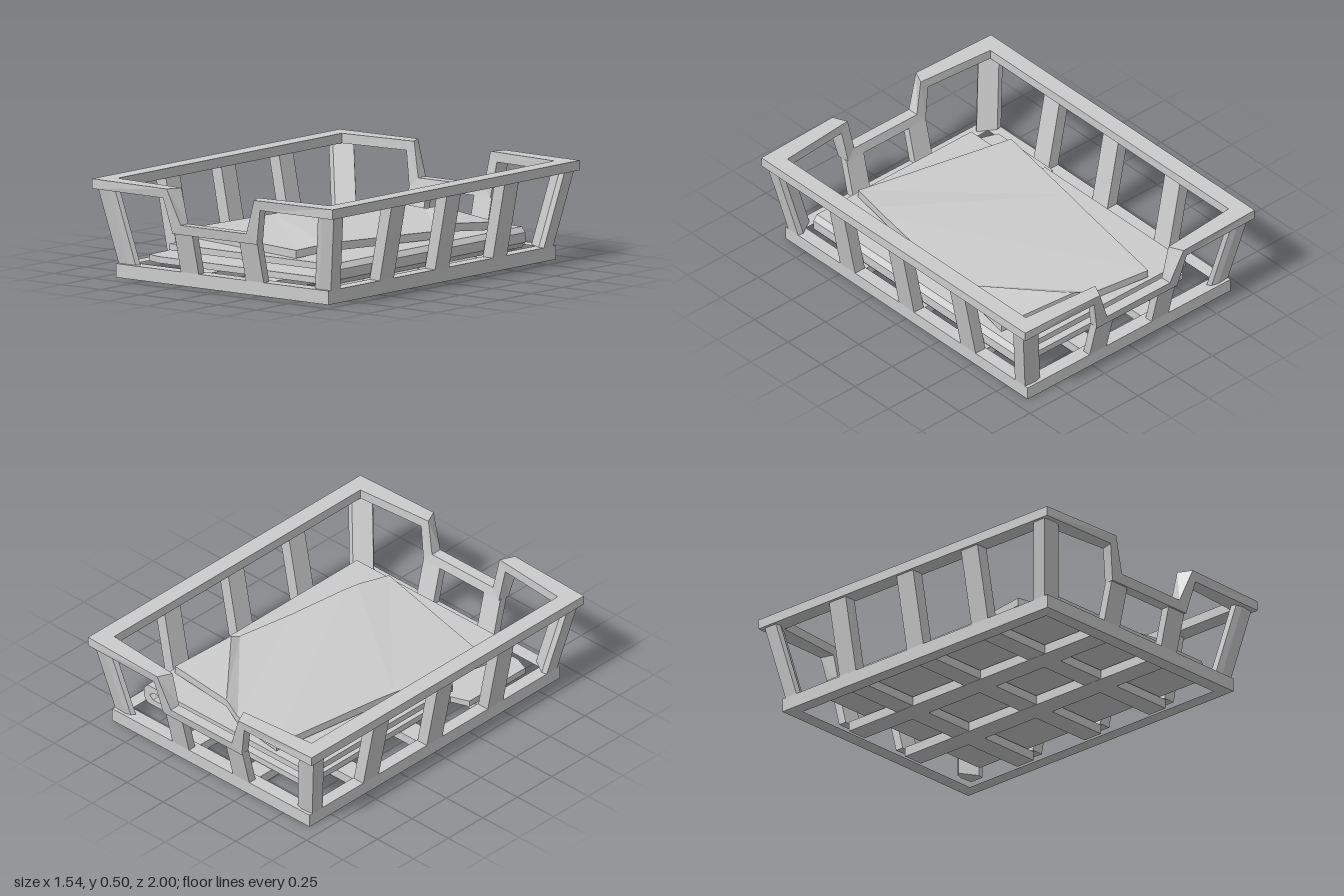
import * as THREE from 'three';

const material = new THREE.MeshStandardMaterial({ color: 0xcccccc, flatShading: true });

function add(group, name, geometry) {
  const mesh = new THREE.Mesh(geometry, material);
  mesh.name = name;
  group.add(mesh);
  return mesh;
}

// Skins a row of matching cross-sections; either closed into a ring or capped.
function loft(sections, ring = false) {
  const n = sections[0].length, pos = [];
  const tri = (a, b, c) => pos.push(...a, ...b, ...c);
  const spans = ring ? sections.length : sections.length - 1;
  for (let k = 0; k < spans; k++) {
    const a = sections[k], b = sections[(k + 1) % sections.length];
    for (let i = 0; i < n; i++) {
      const j = (i + 1) % n;
      tri(a[i], b[i], b[j]);
      tri(a[i], b[j], a[j]);
    }
  }
  if (!ring) {
    const a = sections[0], b = sections[sections.length - 1];
    for (let i = 1; i < n - 1; i++) {
      tri(a[0], a[i], a[i + 1]);
      tri(b[0], b[i + 1], b[i]);
    }
  }
  const g = new THREE.BufferGeometry();
  g.setAttribute('position', new THREE.Float32BufferAttribute(pos, 3));
  g.computeVertexNormals();
  return g;
}

// Leaning post: an (x, z) footprint moved by a lean between two heights.
function post(footprint, lean, y0, y1) {
  const pts = footprint.map(([x, z]) => new THREE.Vector2(x, z));
  if (THREE.ShapeUtils.area(pts) < 0) pts.reverse();
  return loft([
    pts.map(p => [p.x, y0, p.y]),
    pts.map(p => [p.x + lean[0], y1, p.y + lean[1]]),
  ]);
}

const rect = (x0, x1, z0, z1) => [[x0, z0], [x1, z0], [x1, z1], [x0, z1]];

// Flat plate from an (x, z) outline, with an optional hole.
function plate(outline, y0, y1, hole) {
  const vec = pts => pts.map(([x, z]) => new THREE.Vector2(x, -z));
  const shape = new THREE.Shape(vec(outline));
  if (hole) shape.holes.push(new THREE.Path(vec(hole)));
  const g = new THREE.ExtrudeGeometry(shape, { depth: y1 - y0, bevelEnabled: false });
  return g.rotateX(-Math.PI / 2).translate(0, y0, 0);
}

export function createModel() {
  const model = new THREE.Group();
  model.name = 'paperTray';

  // Base frame and lattice
  add(model, 'baseFrame', plate(rect(-0.68, 0.68, -0.905, 0.905), 0, 0.07,
    rect(-0.61, 0.61, -0.83, 0.83)));
  const crossZ = [-0.46, 0, 0.44];
  for (const x of [-0.205, 0.205])
    add(model, 'longSlat', new THREE.BoxGeometry(0.115, 0.05, 1.68)).position.set(x, 0.04, 0);
  for (const z of crossZ)
    add(model, 'crossSlat', new THREE.BoxGeometry(1.24, 0.048, 0.112)).position.set(0, 0.04, z);

  // Posts leaning outward to the rim
  const corner = [[0.68, 0.81], [0.65, 0.805], [0.56, 0.86], [0.575, 0.88], [0.61, 0.89], [0.68, 0.885]];
  for (const s of [1, -1]) {
    for (const z of crossZ)
      add(model, 'sidePost', post(rect(s * 0.615, s * 0.68, z - 0.056, z + 0.056), [s * 0.075, 0], 0.07, 0.45));
    for (const x of [-0.208, 0.208])
      add(model, 'endPost', post(rect(x - 0.057, x + 0.057, s * 0.86, s * 0.905), [0, s * 0.05], 0.07, 0.27));
    for (const t of [1, -1])
      add(model, 'cornerPost', post(corner.map(([x, z]) => [x * s, z * t]), [s * 0.075, t * 0.07], 0.07, 0.45));
  }

  // Rim with a dipped opening at each end; section order:
  // outer top, outer bottom, inner bottom, inner top
  const rimCorner = [[0.77, 0.5, 0.985], [0.77, 0.45, 0.985], [0.68, 0.45, 0.89], [0.68, 0.5, 0.89]];
  const rimKnee = [[0.28, 0.5, 1], [0.31, 0.45, 0.99], [0.29, 0.45, 0.92], [0.245, 0.5, 0.925]];
  const rimDip = [[0.21, 0.32, 0.975], [0.27, 0.27, 0.965], [0.26, 0.27, 0.905], [0.21, 0.32, 0.915]];
  const half = [rimCorner, rimKnee, rimDip];
  const flip = (list, sx, sz) => list.map(sec => sec.map(([x, y, z]) => [x * sx, y, z * sz]));
  const back = [...half].reverse();
  add(model, 'rim', loft([
    ...flip(half, 1, 1), ...flip(back, -1, 1),
    ...flip(half, -1, -1), ...flip(back, 1, -1),
  ], true));

  // Folded paper: two leaves joined by a rounded fold on the left
  const paper = new THREE.Group();
  paper.name = 'foldedPaper';
  model.add(paper);
  add(paper, 'upperLeaf', plate([[0.55, -0.745], [-0.52, -0.745], [-0.52, 0.3], [-0.47, 0.32],
    [-0.445, 0.4], [-0.445, 0.77], [0.55, 0.77]], 0.145, 0.178));
  add(paper, 'lowerLeaf', plate([[0.55, -0.745], [-0.505, -0.745], [-0.505, 0.3], [-0.6, 0.335],
    [-0.6, 0.74], [-0.52, 0.77], [0.55, 0.77]], 0.072, 0.105));
  const fold = new THREE.Shape([[0.55, 0.072], [0.59, 0.072], [0.613, 0.1], [0.613, 0.15], [0.59, 0.178],
    [0.55, 0.178], [0.55, 0.145], [0.575, 0.125], [0.55, 0.105]].map(p => new THREE.Vector2(...p)));
  add(paper, 'fold', new THREE.ExtrudeGeometry(fold, { depth: 1.515, bevelEnabled: false }).translate(0, 0, -0.745));

  // Creased top sheet: [right x, z], [left x, z], top height per crease line
  const creases = [
    [[0.34, 0.74], [-0.515, 0.55], 0.22],
    [[0.385, 0.56], [-0.405, -0.01], 0.235],
    [[0.4, 0.48], [-0.385, -0.11], 0.235],
    [[0.45, 0.15], [-0.285, -0.73], 0.226],
    [[0.51, -0.16], [0.03, -0.68], 0.22],
    [[0.512, -0.22], [0.14, -0.645], 0.25],
    [[0.56, -0.575], [0.56, -0.576], 0.22],
  ];
  add(model, 'topSheet', loft(creases.map(([r, l, y]) => [
    [r[0], y, r[1]], [l[0], y, l[1]], [l[0], y - 0.041, l[1]], [r[0], y - 0.041, r[1]],
  ])));

  return model;
}
